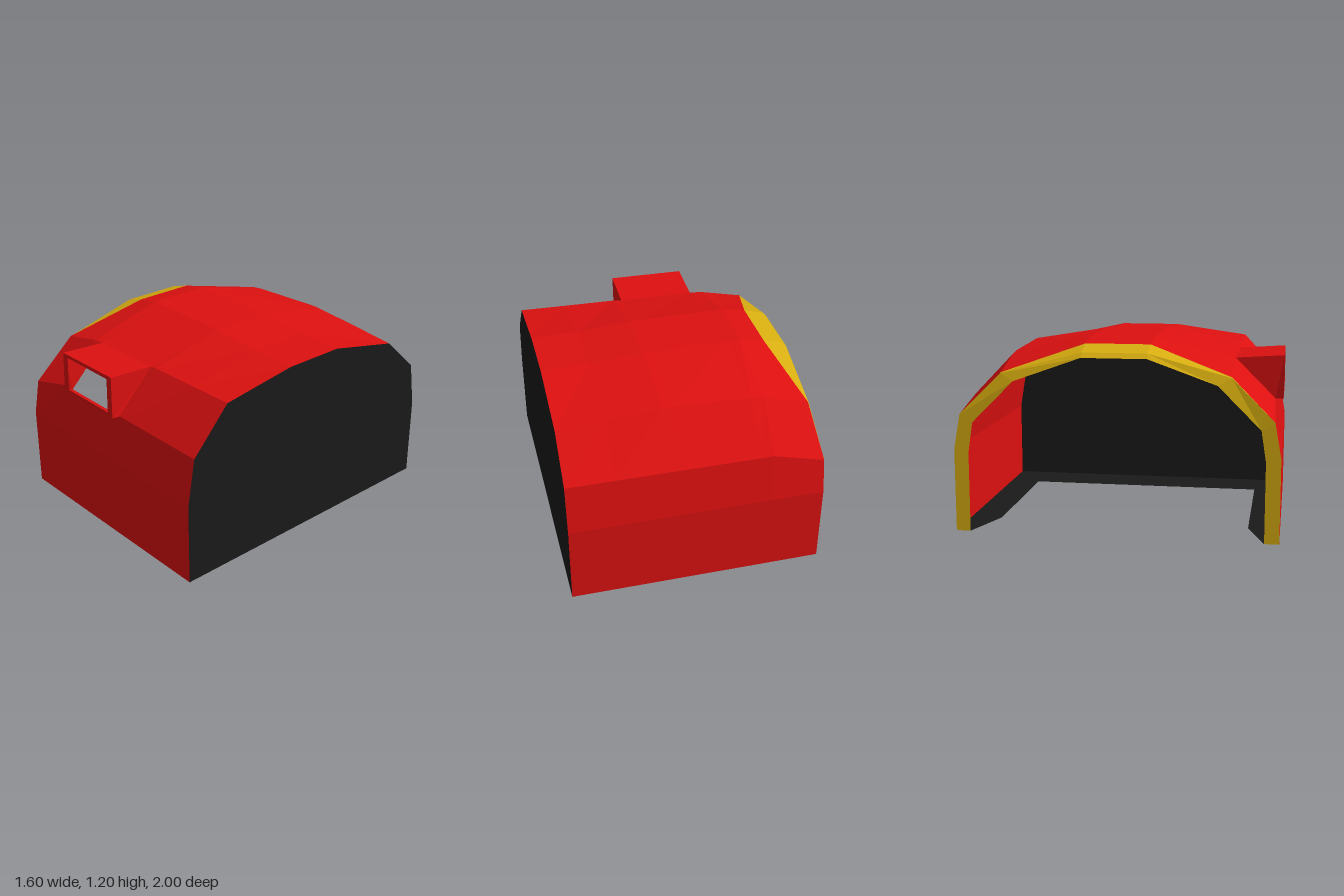
import * as THREE from 'three';

const RED = 0xdd1010, YELLOW = 0xd8ae10, BLACK = 0x1a1a1a;

// Flat-shaded surface stretched over a list of cross-sections of [x, y, z] points
function skin(name, color, sections, skip = () => false) {
  const pos = [];
  for (let s = 0; s < sections.length - 1; s++) {
    for (let p = 0; p < sections[s].length - 1; p++) {
      if (skip(s, p)) continue;
      const a = sections[s][p], b = sections[s + 1][p];
      const c = sections[s + 1][p + 1], d = sections[s][p + 1];
      pos.push(...a, ...b, ...c, ...a, ...c, ...d);
    }
  }
  const geo = new THREE.BufferGeometry();
  geo.setAttribute('position', new THREE.Float32BufferAttribute(pos, 3));
  geo.computeVertexNormals();
  const mat = new THREE.MeshStandardMaterial({ color, flatShading: true, side: THREE.DoubleSide });
  const mesh = new THREE.Mesh(geo, mat);
  mesh.name = name;
  return mesh;
}

// Completes a front half arch with its mirror image at the back
const arch = (half) => [...half, ...half.map(([x, y, z]) => [x, y, -z]).reverse()];
const closed = (loop) => [...loop, loop[0]];

// Arch cross-section: front shoulder, crown and back shoulder heights vary along x
const section = ([x, front, crown, back]) => [
  [x, 0, 1], [x, 0.52, 1], [x, 0.82, 0.95], [x, front, 0.7], [x, crown, 0.2],
  [x, crown, -0.2], [x, back, -0.7], [x, 0.82, -0.95], [x, 0.52, -1], [x, 0, -1],
];

export function createModel() {
  const model = new THREE.Group();
  model.name = 'archedShell';

  // Slanted edge of the shell at the open end
  const edge = arch([[-0.8, 0, 1], [-0.8, 0.52, 1], [-0.8, 0.74, 0.96], [-0.77, 1, 0.7], [-0.64, 1.17, 0.2]]);

  // Outer shell, with an opening behind the scoop
  const sections = [edge, ...[
    [-0.48, 1.065, 1.2, 1.08],
    [-0.4, 1.07, 1.198, 1.09],
    [0.1, 1.075, 1.193, 1.11],
    [0.15, 1.08, 1.193, 1.11],
    [0.5, 1.085, 1.165, 1.08],
    [0.8, 1.09, 1.16, 1.05],
  ].map(section)];
  model.add(skin('outerShell', RED, sections, (s, p) => s === 2 && p === 2));

  // Rim of the open end: flat inner band and chamfer
  const inner = arch([[-0.8, 0, 0.91], [-0.8, 0.5, 0.91], [-0.8, 0.69, 0.88], [-0.8, 0.95, 0.62], [-0.8, 1.1, 0.2]]);
  const middle = arch([[-0.8, 0, 1], [-0.8, 0.52, 1], [-0.8, 0.74, 0.96], [-0.775, 0.995, 0.7], [-0.775, 1.13, 0.2]]);
  model.add(skin('openingRim', YELLOW, [inner, middle, edge]));

  // Closed end wall
  const end = sections[sections.length - 1];
  model.add(skin('endWall', BLACK, [end.slice(0, 5), end.slice(5).reverse()]));

  // Bottom flange, open in the middle
  const outerPath = [[-0.8, 0, 1], [-0.48, 0, 1], [0.8, 0, 1], [0.8, 0, -1], [-0.48, 0, -1], [-0.8, 0, -1]];
  const innerPath = [[-0.8, 0, 0.91], [-0.48, 0, 0.8], [0.5, 0, 0.8], [0.5, 0, -0.8], [-0.48, 0, -0.8], [-0.8, 0, -0.91]];
  model.add(skin('bottomFlange', BLACK, [outerPath, innerPath]));

  // Scoop on the front: framed opening with walls running back to the shell
  model.add(skin('scoop', RED, [
    closed([[0.055, 1.07, 1], [-0.355, 1.07, 1], [-0.365, 0.845, 1], [0.05, 0.845, 1]]),
    closed([[0.1, 1.095, 1], [-0.4, 1.09, 1], [-0.415, 0.82, 1], [0.095, 0.82, 1]]),
    closed([[0.1, 1.075, 0.7], [-0.4, 1.07, 0.7], [-0.4, 0.82, 0.95], [0.1, 0.82, 0.95]]),
  ]));

  return model;
}
